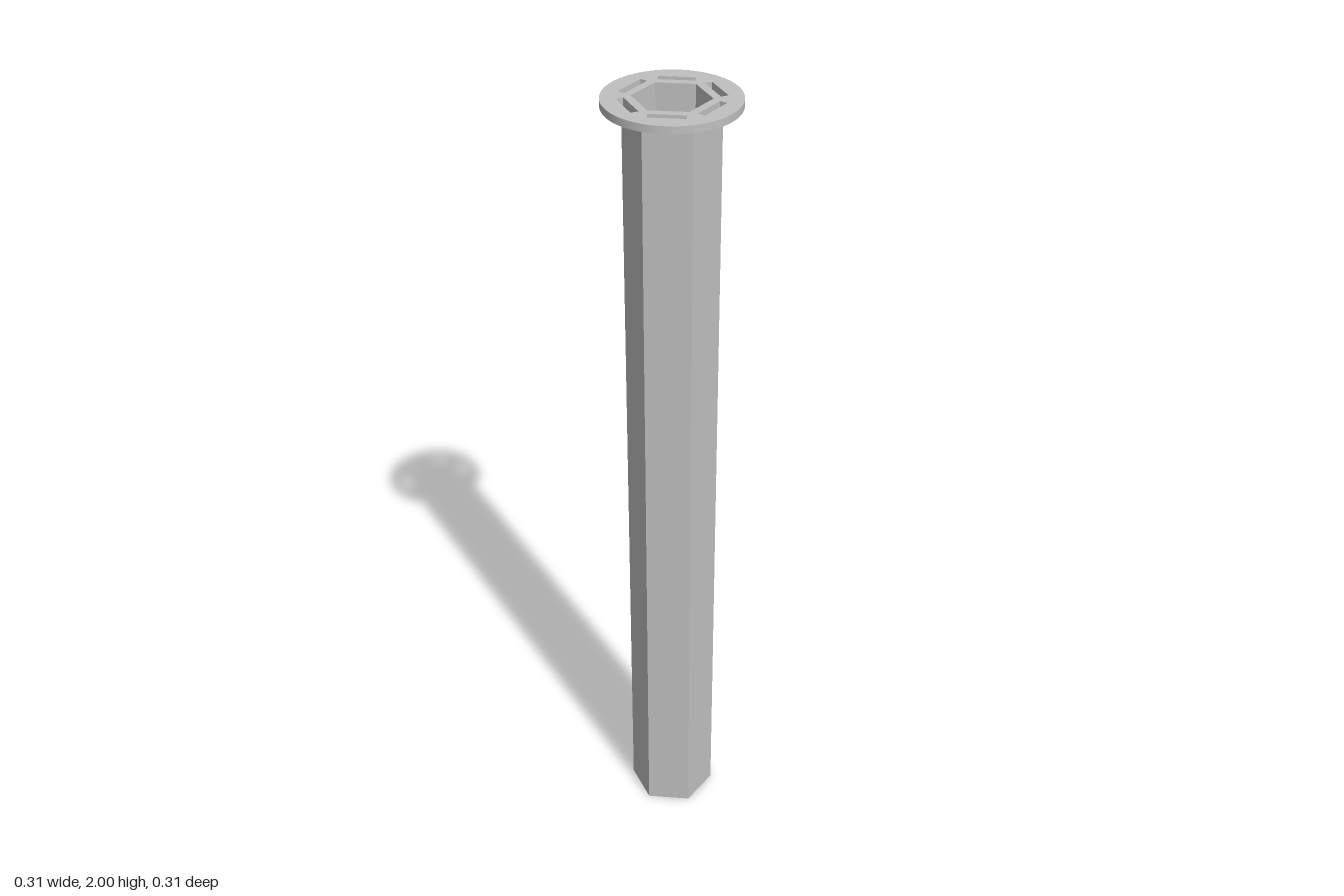
import * as THREE from 'three';
import { toCreasedNormals } from 'three/addons/utils/BufferGeometryUtils.js';

const HEIGHT = 2, FLANGE_T = 0.018, FLANGE_R = 0.1535;
const OUTER_R = 0.1085, INNER_R = 0.0876;          // hexagon corner radii
const CONE_R = 0.0758, HOLE_R = 0.018;
const FLOOR_Y = 0.018, LEDGE_Y = FLOOR_Y + CONE_R - HOLE_R;
const SLOT_IN = 0.0945, SLOT_OUT = 0.1125, SLOT_HALF = 0.041;

// Corner points of a hexagon with corners on the z axis
function hexPoints(r) {
  return Array.from({ length: 6 }, (_, i) => {
    const a = Math.PI / 6 + i * Math.PI / 3;
    return new THREE.Vector2(r * Math.cos(a), r * Math.sin(a));
  });
}

function circlePath(r) {
  return new THREE.Path().absarc(0, 0, r, 0, Math.PI * 2, true);
}

// Flat hexagonal plate with a round hole
function hexPlate(r, holeR) {
  const shape = new THREE.Shape(hexPoints(r));
  shape.holes.push(circlePath(holeR));
  return new THREE.ShapeGeometry(shape, 32);
}

// Open six-sided wall, optionally facing inward
function hexWall(r, y0, y1, inward) {
  let g = new THREE.CylinderGeometry(r, r, y1 - y0, 6, 1, true);
  g.translate(0, (y0 + y1) / 2, 0);
  if (inward) g.scale(-1, 1, 1);
  g = g.toNonIndexed();
  g.computeVertexNormals();
  return g;
}

// Round flange with a hexagonal opening and six slots
function flangeGeometry() {
  const shape = new THREE.Shape().absarc(0, 0, FLANGE_R, 0, Math.PI * 2, false);
  shape.holes.push(new THREE.Path(hexPoints(INNER_R)));
  const centre = new THREE.Vector2();
  for (let i = 0; i < 6; i++) {
    const corners = [
      [SLOT_IN, -SLOT_HALF], [SLOT_OUT, -SLOT_HALF],
      [SLOT_OUT, SLOT_HALF], [SLOT_IN, SLOT_HALF],
    ].map(([x, y]) => new THREE.Vector2(x, y).rotateAround(centre, i * Math.PI / 3));
    shape.holes.push(new THREE.Path(corners));
  }
  const g = new THREE.ExtrudeGeometry(shape, {
    depth: FLANGE_T, bevelEnabled: false, curveSegments: 64,
  });
  g.rotateX(-Math.PI / 2);
  g.translate(0, HEIGHT - FLANGE_T, 0);
  return toCreasedNormals(g, 0.5);
}

export function createModel() {
  const group = new THREE.Group();
  group.name = 'hexagonalTube';
  const grey = new THREE.MeshStandardMaterial({ color: 0xc0c0c0 });
  grey.name = 'plain grey';

  const add = (name, geometry) => {
    const mesh = new THREE.Mesh(geometry, grey);
    mesh.name = name;
    group.add(mesh);
  };

  // Tube walls
  add('outerWall', hexWall(OUTER_R, 0, HEIGHT - FLANGE_T, false));
  add('innerWall', hexWall(INNER_R, LEDGE_Y, HEIGHT - FLANGE_T, true));

  // Closed lower end with a funnel leading to a drain hole
  add('underside', hexPlate(OUTER_R, HOLE_R).rotateX(Math.PI / 2));
  add('funnelLedge', hexPlate(INNER_R, CONE_R).rotateX(-Math.PI / 2).translate(0, LEDGE_Y, 0));
  const ring = (points) => new THREE.LatheGeometry(points.map(([r, y]) => new THREE.Vector2(r, y)), 64);
  add('funnel', ring([[CONE_R, LEDGE_Y], [HOLE_R, FLOOR_Y]]));
  add('drainHole', ring([[HOLE_R, FLOOR_Y], [HOLE_R, 0]]));

  // Slotted top flange
  add('flange', flangeGeometry());

  return group;
}
